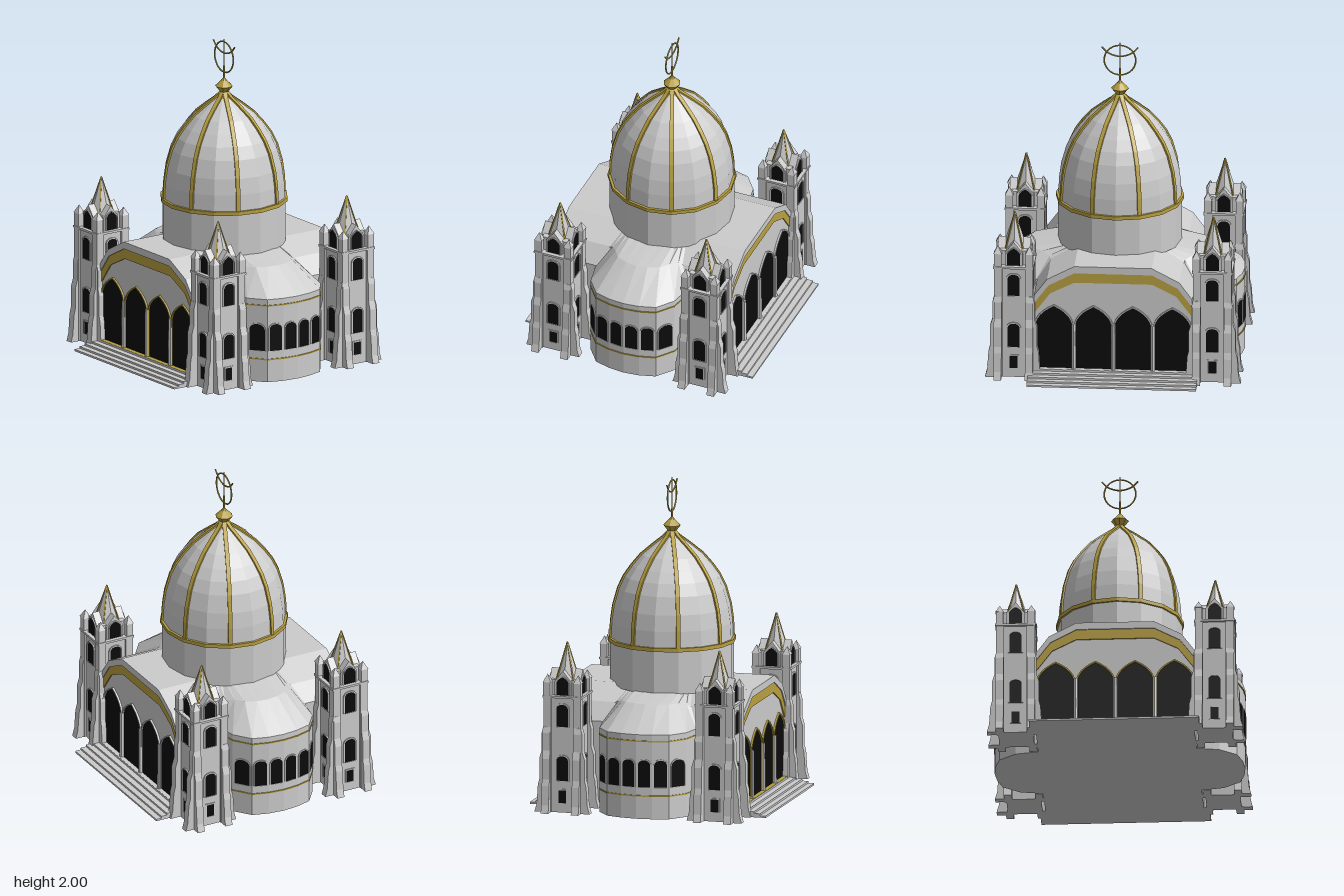
import * as THREE from 'three';

const material = (color) => new THREE.MeshStandardMaterial({ color, flatShading: true, side: THREE.DoubleSide });
const stone = material(0xcccccc);
const gold = material(0xb8a040);
const dark = material(0x0b0b0b);

function add(parent, name, geometry, mat = stone, x = 0, y = 0, z = 0) {
  const mesh = new THREE.Mesh(geometry, mat);
  mesh.name = name;
  mesh.position.set(x, y, z);
  parent.add(mesh);
  return mesh;
}
const group = (parent, name) => {
  const g = new THREE.Group();
  g.name = name;
  parent.add(g);
  return g;
};
const box = (w, h, d) => new THREE.BoxGeometry(w, h, d);
const polygon = (pts) => new THREE.Shape(pts.map(([x, y]) => new THREE.Vector2(x, y)));
const extrude = (shape, depth) =>
  new THREE.ExtrudeGeometry(shape, { depth, bevelEnabled: false, curveSegments: 5 });
// Closes a half outline (x >= 0, listed outside to centre) with its mirror image
const mirrored = (half) => [...half, ...half.filter((p) => p[0] > 0).reverse().map(([x, ...r]) => [-x, ...r])];

// Outline of an opening standing on y = 0
function opening(w, h, kind) {
  const s = new THREE.Shape(), r = w / 2;
  s.moveTo(-r, 0);
  s.lineTo(r, 0);
  if (kind === 'round') {
    s.lineTo(r, h - r * 0.7);
    s.quadraticCurveTo(r * 0.85, h, 0, h);
    s.quadraticCurveTo(-r * 0.85, h, -r, h - r * 0.7);
  } else if (kind === 'pointed') {
    s.lineTo(r, h - r);
    s.quadraticCurveTo(r * 0.85, h - r * 0.4, 0, h);
    s.quadraticCurveTo(-r * 0.85, h - r * 0.4, -r, h - r);
  } else {
    s.lineTo(r, h);
    s.lineTo(-r, h);
  }
  return s;
}

// Dark pane with a raised frame, facing +z
function addWindow(parent, name, w, h, kind, frame, depth, mat = stone) {
  const g = group(parent, name);
  add(g, 'pane', new THREE.ShapeGeometry(opening(w, h, kind), 5), dark, 0, 0, 0.003);
  if (frame) {
    const outer = opening(w + frame * 2, h + frame, kind);
    outer.holes.push(opening(w, h, kind));
    add(g, 'frame', extrude(outer, depth), mat);
  }
  return g;
}

// Skin over successive open rings of [x, y, z]
function loft(rings) {
  const n = rings[0].length, index = [];
  for (let i = 0; i < rings.length - 1; i++)
    for (let j = 0; j < n - 1; j++) {
      const a = i * n + j, b = a + 1, d = a + n, c = d + 1;
      index.push(b, a, d, b, d, c);
    }
  const g = new THREE.BufferGeometry();
  g.setAttribute('position', new THREE.Float32BufferAttribute(rings.flat(2), 3));
  g.setIndex(index);
  const flat = g.toNonIndexed();
  flat.computeVertexNormals();
  return flat;
}

const roofLine = [[0.49, 0.54], [0.41, 0.65], [0.24, 0.74]];
const bandTop = [[0.49, 0.49], [0.4, 0.61], [0.24, 0.695]];
const bandBottom = [[0.49, 0.42], [0.39, 0.555], [0.24, 0.63]];
const strip = (outer, inner) => polygon([...mirrored(outer), ...mirrored(inner).reverse()]);

// Arcaded end wall with steps, facing +z
function addFacade(parent, trim) {
  const g = group(parent, 'facade');
  add(g, 'roofEdge', extrude(strip(roofLine, bandTop), 0.015), stone, 0, 0, 0.575);
  add(g, 'archBand', extrude(strip(bandTop, bandBottom), 0.008), gold, 0, 0, 0.575);
  for (const x of [-0.367, -0.122, 0.122, 0.367])
    addWindow(g, 'archWindow', 0.218, 0.41, 'pointed', 0.01, 0.012, trim).position.set(x, 0.06, 0.575);
  for (const x of [-0.485, -0.245, 0, 0.245, 0.485])
    add(g, 'column', new THREE.CylinderGeometry(0.012, 0.014, 0.3, 6), stone, x, 0.21, 0.588);
  add(g, 'threshold', box(0.98, 0.06, 0.04), trim, 0, 0.031, 0.588);
  for (let k = 0; k < 5; k++) {
    const h = 0.06 - k * 0.012, end = 0.61 + k * 0.0375;
    add(g, 'step', box(1.05, h, 0.04), stone, 0, h / 2, end - 0.02);
  }
  return g;
}

// Rounded projecting bay with half dome roof, facing +z
function addApse(parent) {
  const g = group(parent, 'apse');
  const plan = mirrored([[0.31, 0.42], [0.305, 0.5], [0.28, 0.63], [0.2, 0.735], [0.1, 0.765], [0, 0.775]]);
  const shoulder = mirrored([[0.3, 0.62, 0.4], [0.22, 0.66, 0.42], [0.18, 0.675, 0.47],
    [0.14, 0.68, 0.53], [0.07, 0.68, 0.56], [0, 0.68, 0.57]]);
  const crown = mirrored([0.2, 0.18, 0.15, 0.13, 0.06, 0].map((x) => [x, 0.741, 0.24]));
  const ring = (y, s = 1) => plan.map(([x, z]) => [x * s, y, z * s]);
  add(g, 'apseShell', loft([plan.map(() => [0, 0, 0.42]), ring(0), ring(0.53), shoulder, crown]));
  for (const y of [0.145, 0.49])
    add(g, 'goldBand', loft([ring(y - 0.004), ring(y - 0.004, 1.007), ring(y + 0.004, 1.007), ring(y + 0.004)]), gold);
  // One window on each of the six forward facets
  for (let j = 2; j < 8; j++) {
    const [ax, az] = plan[j], [bx, bz] = plan[j + 1];
    const w = addWindow(g, 'apseWindow', Math.hypot(ax - bx, az - bz) * 0.76, 0.17, 'round', 0.006, 0.006);
    w.position.set((ax + bx) / 2, 0.2, (az + bz) / 2);
    w.rotation.y = Math.atan2(bz - az, ax - bx);
  }
  return g;
}

function addTower(parent, x, z) {
  const g = group(parent, 'tower');
  g.position.set(x, 0, z);
  const buttress = polygon([[0.09, 0], [0.177, 0], [0.163, 0.05], [0.155, 0.17], [0.145, 0.21], [0.145, 0.34],
    [0.13, 0.39], [0.13, 0.5], [0.119, 0.54], [0.09, 0.54]]);
  const gable = polygon([[-0.055, 0.73], [0.055, 0.73], [0.055, 0.82], [0, 0.89], [-0.055, 0.82]]);
  add(g, 'shaft', box(0.216, 0.73, 0.216), stone, 0, 0.365, 0);
  add(g, 'cornice', box(0.25, 0.014, 0.25), stone, 0, 0.728, 0);
  add(g, 'belfry', box(0.17, 0.1, 0.17), stone, 0, 0.78, 0);
  add(g, 'spire', new THREE.ConeGeometry(0.076, 0.24, 8), stone, 0, 0.94, 0);
  for (const sx of [-1, 1]) for (const sz of [-1, 1]) {
    add(g, 'cornerPost', box(0.05, 0.73, 0.05), stone, sx * 0.095, 0.365, sz * 0.095);
    add(g, 'pinnacle', box(0.045, 0.09, 0.045), stone, sx * 0.098, 0.775, sz * 0.098);
    add(g, 'pinnacleTip', new THREE.ConeGeometry(0.036, 0.05, 4), stone, sx * 0.098, 0.843, sz * 0.098).rotation.y = Math.PI / 4;
  }
  for (let k = 0; k < 4; k++) {
    const face = group(g, 'towerFace');
    face.rotation.y = k * Math.PI / 2;
    addWindow(face, 'lowWindow', 0.05, 0.08, 'square', 0.008, 0.006).position.set(0, 0.06, 0.108);
    addWindow(face, 'middleWindow', 0.075, 0.155, 'round', 0.008, 0.008).position.set(0, 0.2, 0.108);
    addWindow(face, 'upperWindow', 0.075, 0.14, 'round', 0.008, 0.008).position.set(0, 0.54, 0.108);
    add(face, 'gable', extrude(gable, 0.1));
    addWindow(face, 'belfryWindow', 0.08, 0.115, 'pointed', 0.005, 0.008).position.set(0, 0.737, 0.1);
    for (const s of [-1, 1])
      add(face, 'buttress', extrude(buttress, 0.048), stone, 0, 0, s * 0.097 - 0.024);
    // Slim gold rib on a spire edge
    const rib = polygon([[0.06, 0.83], [0.079, 0.83], [0.004, 1.055], [0, 1.055]]);
    const edge = group(face, 'spireRib');
    edge.rotation.y = Math.PI / 4;
    add(edge, 'rib', extrude(rib, 0.008), gold, 0, 0, -0.004);
  }
}

function addDome(parent) {
  const g = group(parent, 'dome');
  const profile = [[0.382, 0.99], [0.377, 1.1], [0.363, 1.2], [0.332, 1.31], [0.296, 1.385], [0.25, 1.45],
    [0.19, 1.52], [0.11, 1.585], [0.05, 1.63], [0.02, 1.66]];
  const lathe = (pts, n) => new THREE.LatheGeometry(pts.map((p) => new THREE.Vector2(...p)), n);
  add(g, 'drum', new THREE.CylinderGeometry(0.385, 0.385, 0.28, 16), stone, 0, 0.85, 0);
  add(g, 'drumRing', new THREE.CylinderGeometry(0.397, 0.397, 0.024, 16), gold, 0, 0.988, 0);
  add(g, 'domeShell', lathe(profile, 16));
  const rib = polygon([...profile.map(([r, y]) => [r + 0.007, y + 0.005]),
    ...profile.map(([r, y]) => [Math.max(r - 0.012, 0), y - 0.008]).reverse()]);
  for (let k = 0; k < 8; k++) {
    const arm = group(g, 'domeRib');
    arm.rotation.y = (k + 0.5) * Math.PI / 4;
    add(arm, 'rib', extrude(rib, 0.026), gold, 0, 0, -0.013);
  }
  // Finial with ring and upturned arc
  add(g, 'finial', lathe([[0.08, 1.605], [0.045, 1.635], [0.028, 1.665], [0.055, 1.7], [0.02, 1.735], [0, 1.76]], 8), gold);
  add(g, 'finialRod', new THREE.CylinderGeometry(0.004, 0.005, 0.26, 6), gold, 0, 1.87, 0);
  add(g, 'finialRing', new THREE.TorusGeometry(0.098, 0.005, 6, 28), gold, 0, 1.885, 0).rotation.y = Math.PI / 2;
  const arc = new THREE.CatmullRomCurve3([[1.97, -0.112], [1.93, -0.07], [1.91, 0], [1.93, 0.07], [1.97, 0.112]]
    .map(([y, z]) => new THREE.Vector3(0, y, z)));
  add(g, 'finialArc', new THREE.TubeGeometry(arc, 16, 0.005, 6), gold);
}

export function createModel() {
  const model = new THREE.Group();
  model.name = 'domedHall';
  // Hall with faceted vault roof running along x
  const section = polygon([...mirrored(roofLine), [-0.49, 0], [0.49, 0]]);
  add(model, 'hall', extrude(section, 1.15), stone, -0.575, 0, 0).rotation.y = Math.PI / 2;
  addFacade(model, stone).rotation.y = Math.PI / 2;
  addFacade(model, gold).rotation.y = -Math.PI / 2;
  addApse(model);
  addApse(model).rotation.y = Math.PI;
  for (const x of [-0.49, 0.49]) for (const z of [-0.615, 0.615]) addTower(model, x, z);
  addDome(model);
  return model;
}
